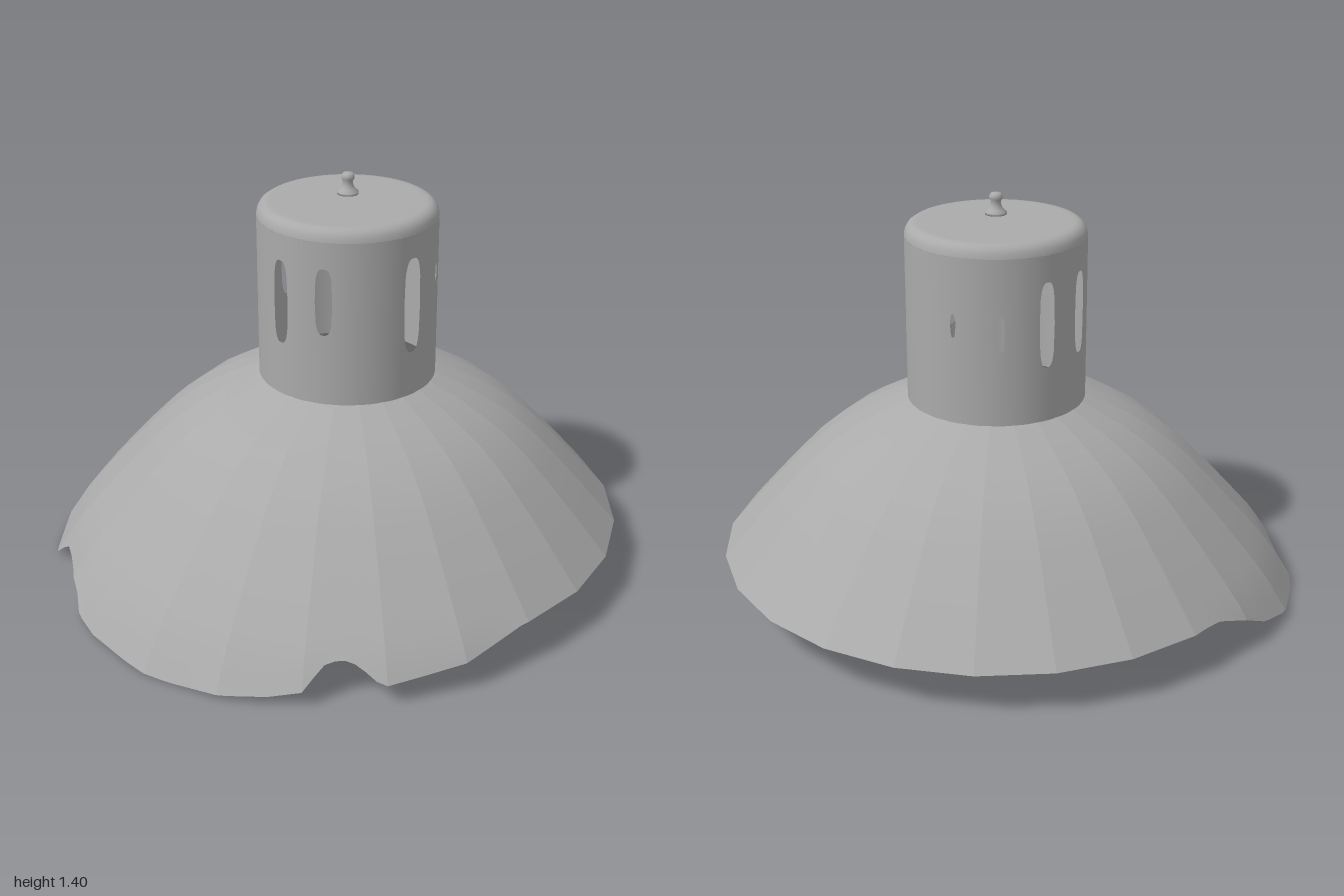
import * as THREE from 'three';
import { mergeGeometries } from 'three/addons/utils/BufferGeometryUtils.js';

const RAD = Math.PI / 180;
const NECK_R = 0.305, NECK_LOW = 0.70, NECK_TOP = 1.27;

// Piecewise-linear lookup in a list of [key, value] pairs
function lookup(table, k) {
  for (let i = 1; i < table.length; i++) {
    const [k0, v0] = table[i - 1], [k1, v1] = table[i];
    if (k <= k1) return v0 + (v1 - v0) * (k - k0) / (k1 - k0);
  }
  return table[table.length - 1][1];
}

// Grid surface: u runs around the axis (+x towards +z), v runs downwards
function gridSurface(nu, nv, point) {
  const pos = [], idx = [];
  for (let j = 0; j <= nv; j++)
    for (let i = 0; i <= nu; i++) pos.push(...point(i / nu, j / nv));
  for (let j = 0; j < nv; j++)
    for (let i = 0; i < nu; i++) {
      const a = j * (nu + 1) + i, b = a + 1, c = a + nu + 1, d = c + 1;
      idx.push(a, b, c, b, d, c);
    }
  const g = new THREE.BufferGeometry();
  g.setAttribute('position', new THREE.Float32BufferAttribute(pos, 3));
  g.setIndex(idx);
  g.computeVertexNormals();
  return g;
}

// Shade radius by height
const shadeCurve = [[0, 1.06], [0.03, 1.045], [0.09, 1.005], [0.165, 0.957], [0.27, 0.865],
  [0.37, 0.775], [0.49, 0.66], [0.58, 0.55], [0.65, 0.43], [0.705, 0.303]];

// Broken rim: height by angle in degrees
const rim = [[0, 0.165], [61, 0.165], [68, 0.14], [75, 0.115], [83, 0.1], [90, 0.088], [92, 0.1],
  [95, 0.14], [98, 0.155], [101, 0.145], [103, 0.11], [105, 0.07], [111, 0.045], [118, 0.03],
  [130, 0.012], [140, 0.01], [150, 0.02], [157, 0.022], [161, 0.06], [166, 0.085], [172, 0.09],
  [177, 0.085], [180, 0.03], [184, 0.015], [190, 0.025], [197, 0.04], [204, 0.07], [210, 0.12],
  [217, 0.16], [222, 0.165], [360, 0.165]];

// Neck slots: angle, half width in degrees, bottom, top
const slots = [[53, 7, 0.86, 1.19], [23, 1.6, 1.06, 1.12], [353, 4, 0.94, 1.15], [293, 1.6, 1.0, 1.08],
  [263, 2.5, 0.96, 1.08], [233, 5.5, 0.89, 1.18], [202, 6, 0.9, 1.18], [143, 6, 0.89, 1.18],
  [112, 5.5, 0.95, 1.18]];

// Edge of the opening at an angle; side is -1 for the lower edge, 1 for the upper
function slotEdge(deg, side) {
  for (const [angle, half, low, high] of slots) {
    const u = Math.abs(deg - angle) / half;
    if (u <= 1) return (low + high) / 2 + side * (high - low) / 2 * Math.pow(1 - u ** 3, 1 / 3);
  }
  return 1.05;
}

function neckBand(side) {
  return gridSurface(720, 1, (u, v) => {
    const deg = u * 360, edge = slotEdge(deg, side);
    const y = side > 0 ? NECK_TOP + (edge - NECK_TOP) * v : edge + (NECK_LOW - edge) * v;
    return [NECK_R * Math.cos(deg * RAD), y, NECK_R * Math.sin(deg * RAD)];
  });
}

// One flat-across panel of the shade, ending at the broken rim
function shadePanel(index, count) {
  const step = 360 / count, mid = (index + 0.5) * step;
  return gridSurface(8, 12, (u, v) => {
    const deg = (index + u) * step;
    const y = 0.705 + (lookup(rim, deg) - 0.705) * v;
    const r = lookup(shadeCurve, y) * Math.cos(step / 2 * RAD) / Math.cos((deg - mid) * RAD);
    return [r * Math.cos(deg * RAD), y, r * Math.sin(deg * RAD)];
  });
}

function lathe(points, segments) {
  return new THREE.LatheGeometry(points.map(p => new THREE.Vector2(...p)), segments);
}

export function createModel() {
  const metal = new THREE.MeshStandardMaterial({ color: 0xaaaaaa, side: THREE.DoubleSide });
  metal.name = 'grey metal';
  const lamp = new THREE.Group();
  lamp.name = 'lampShade';
  const add = (name, geometry) => {
    const mesh = new THREE.Mesh(geometry, metal);
    mesh.name = name;
    lamp.add(mesh);
  };

  // Panelled shade
  const count = 24;
  add('shade', mergeGeometries(Array.from({ length: count }, (_, i) => shadePanel(i, count))));

  // Slotted neck, open at the bottom
  add('neck', mergeGeometries([neckBand(-1), neckBand(1)]));

  // Rounded cap
  add('cap', lathe([[0.305, 1.27], [0.302, 1.287], [0.293, 1.302], [0.279, 1.311],
    [0.265, 1.313], [0.25, 1.313], [0, 1.313]], 64));

  // Small knob just above the cap
  add('knob', lathe([[0, 1.335], [0.036, 1.335], [0.036, 1.343], [0.025, 1.352], [0.018, 1.365],
    [0.017, 1.38], [0.022, 1.387], [0.022, 1.398], [0.016, 1.406], [0, 1.408]], 24));

  lamp.position.set(0.045, -0.008, -0.03);
  const model = new THREE.Group();
  model.name = 'lamp';
  model.add(lamp);
  return model;
}
